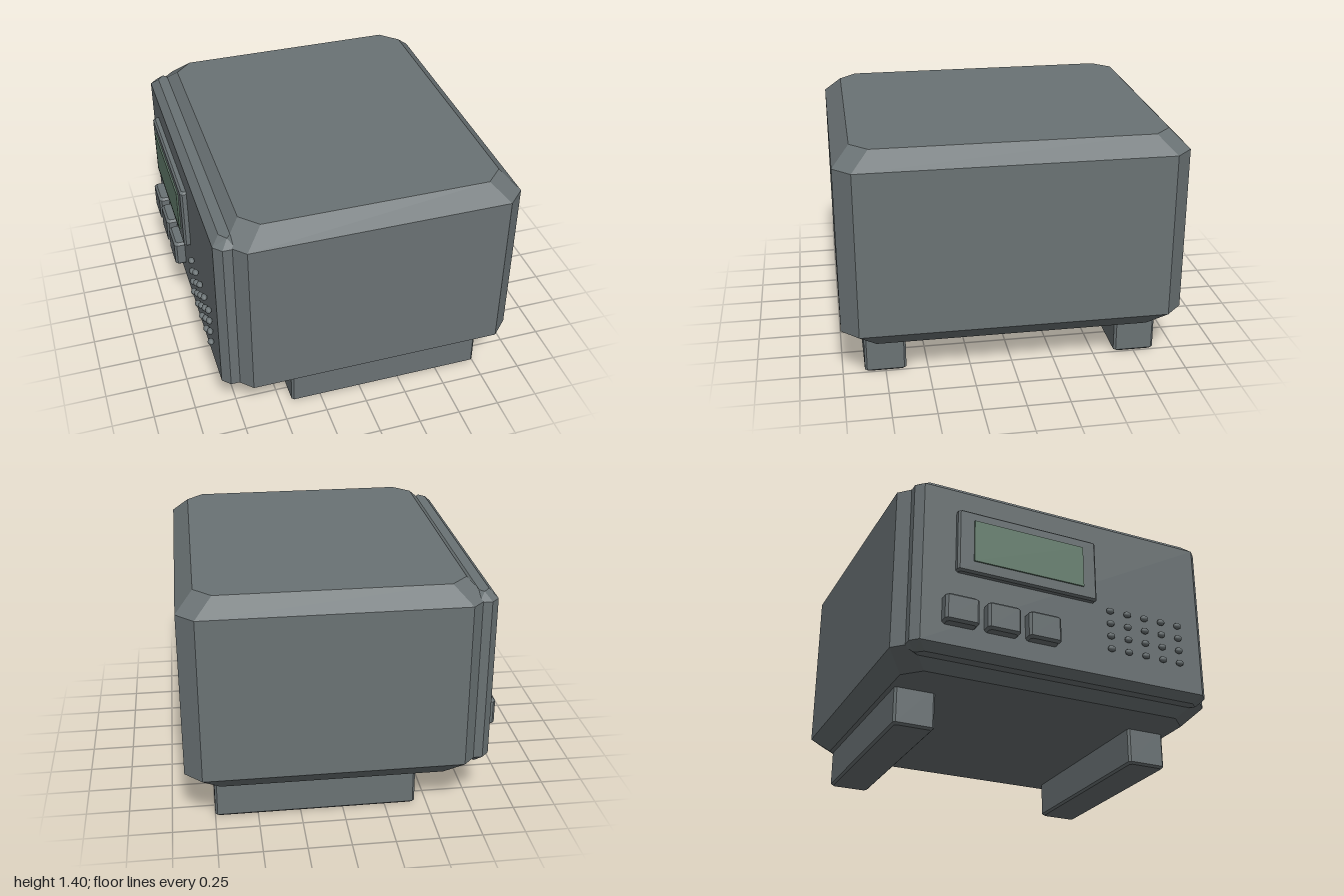
import * as THREE from 'three';

// Box with every edge chamfered: four octagonal rings stacked in y, plus two caps
function chamferBox(min, max, c) {
  const [cx, cy, cz] = min.map((v, i) => (v + max[i]) / 2);
  const [hx, hy, hz] = min.map((v, i) => (max[i] - v) / 2);
  const pos = [], idx = [];
  const ring = (y, inset) => {
    const x = hx - inset, z = hz - inset;
    const a = Math.max(0, x - c), b = Math.max(0, z - c);
    const pts = [[x, b], [x, -b], [a, -z], [-a, -z], [-x, -b], [-x, b], [-a, z], [a, z]];
    for (const [px, pz] of pts) pos.push(cx + px, cy + y, cz + pz);
  };
  ring(-hy, c);
  ring(-hy + c, 0);
  ring(hy - c, 0);
  ring(hy, c);
  for (let r = 0; r < 3; r++) {
    for (let i = 0; i < 8; i++) {
      const a = r * 8 + i, b = r * 8 + (i + 1) % 8;
      idx.push(a, b, b + 8, a, b + 8, a + 8);
    }
  }
  for (let i = 1; i < 7; i++) {
    idx.push(0, i + 1, i);
    idx.push(24, 24 + i, 25 + i);
  }
  const g = new THREE.BufferGeometry();
  g.setAttribute('position', new THREE.Float32BufferAttribute(pos, 3));
  g.setIndex(idx);
  const flat = g.toNonIndexed();
  flat.computeVertexNormals();
  return flat;
}

export function createModel() {
  const group = new THREE.Group();
  const grey = new THREE.MeshStandardMaterial({ color: 0x6a7274 });
  grey.name = 'casing grey';
  const green = new THREE.MeshStandardMaterial({ color: 0x66806f });
  green.name = 'screen green';

  const add = (name, geometry, material = grey) => {
    const mesh = new THREE.Mesh(geometry, material);
    mesh.name = name;
    group.add(mesh);
    return mesh;
  };

  // Casing and the control panel on its -x side
  add('casing', chamferBox([-0.79, 0.22, -1], [0.915, 1.405, 1], 0.1));
  add('controlPanel', chamferBox([-0.853, 0.278, -0.935], [-0.69, 1.347, 0.935], 0.045));

  // Two long feet
  for (const z of [0.75, -0.75]) {
    add('foot', chamferBox([-0.43, 0, z - 0.122], [0.75, 0.26, z + 0.122], 0.013));
  }

  // Display
  add('displayFrame', chamferBox([-0.89, 0.772, -0.695], [-0.82, 1.167, 0.18], 0.012));
  const screen = add('screen', new THREE.BoxGeometry(0.009, 0.26, 0.69), green);
  screen.position.set(-0.8945, 0.975, -0.255);

  // Three buttons below the display
  for (const z of [-0.67, -0.42, -0.17]) {
    add('button', chamferBox([-0.917, 0.438, z - 0.1], [-0.83, 0.605, z + 0.1], 0.014));
  }

  // Grid of small raised speaker studs
  const stud = new THREE.SphereGeometry(1, 8, 6);
  for (let row = 0; row < 4; row++) {
    for (let col = 0; col < 5; col++) {
      const mesh = add('speakerStud', stud);
      mesh.scale.set(0.019, 0.019, 0.025);
      mesh.position.set(-0.872, 0.493 + row * 0.081, 0.272 + col * 0.115);
    }
  }
  return group;
}
